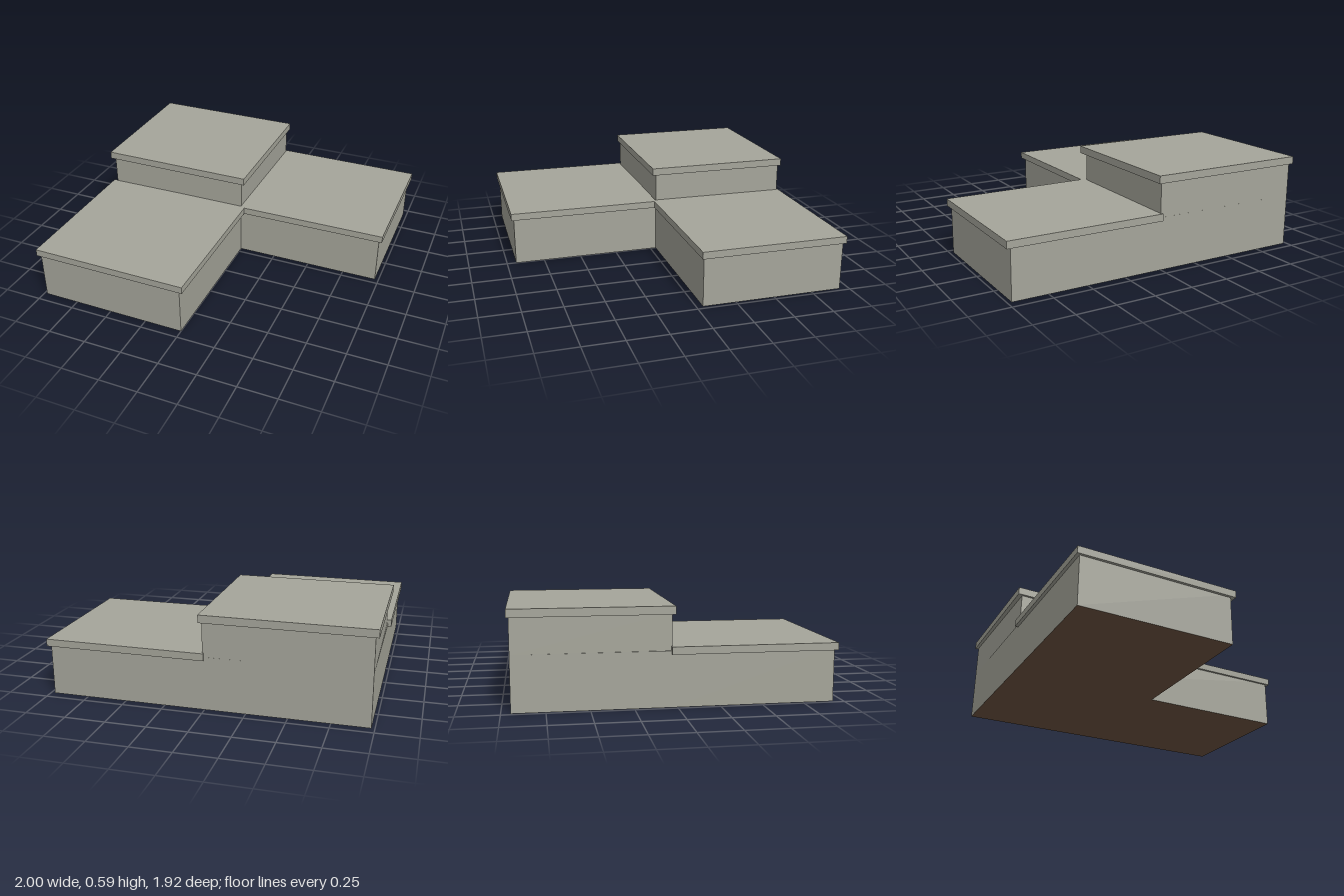
import * as THREE from 'three';

const wall = new THREE.MeshStandardMaterial({ color: 0xa5a59a });
wall.name = 'stoneGrey';
const earth = new THREE.MeshStandardMaterial({ color: 0x6f5541 });
earth.name = 'earthBrown';

// Box whose footprint is a slightly skewed quad.
// corners: [backLeft, backRight, frontRight, frontLeft] as [x, z], seen from the front
function block(name, corners, y0, y1, bottom = wall) {
  const geo = new THREE.BoxGeometry(1, 1, 1);
  const p = geo.attributes.position;
  const [bl, br, fr, fl] = corners;
  for (let i = 0; i < p.count; i++) {
    const right = p.getX(i) > 0;
    const c = p.getZ(i) > 0 ? (right ? fr : fl) : (right ? br : bl);
    p.setXYZ(i, c[0], p.getY(i) > 0 ? y1 : y0, c[1]);
  }
  geo.computeVertexNormals();
  const mesh = new THREE.Mesh(geo, [wall, wall, wall, bottom, wall, wall]);
  mesh.name = name;
  return mesh;
}

export function createModel() {
  const model = new THREE.Group();
  model.name = 'terracedBuilding';
  model.add(
    // Ground floor: back row plus front wing, forming an L
    block('backRowWalls', [[-0.98, -0.945], [0.975, -0.94], [0.975, -0.04], [-0.98, -0.035]], 0, 0.33, earth),
    block('frontWingWalls', [[-0.98, -0.035], [0, -0.04], [0, 0.94], [-0.98, 0.935]], 0, 0.33, earth),
    // Flat roofs of the two low wings
    block('frontWingRoof', [[-1, -0.035], [0.03, -0.035], [0.027, 0.958], [-1, 0.952]], 0.31, 0.355),
    block('sideWingRoof', [[0, -0.955], [1, -0.95], [0.997, -0.025], [0, -0.02]], 0.31, 0.355),
    // Upper storey on the corner
    block('upperWalls', [[-0.98, -0.945], [0.01, -0.942], [0, -0.04], [-0.972, -0.03]], 0.33, 0.55),
    block('upperRoof', [[-1, -0.958], [0.03, -0.955], [0.03, -0.01], [-1, -0.015]], 0.54, 0.588)
  );
  return model;
}
